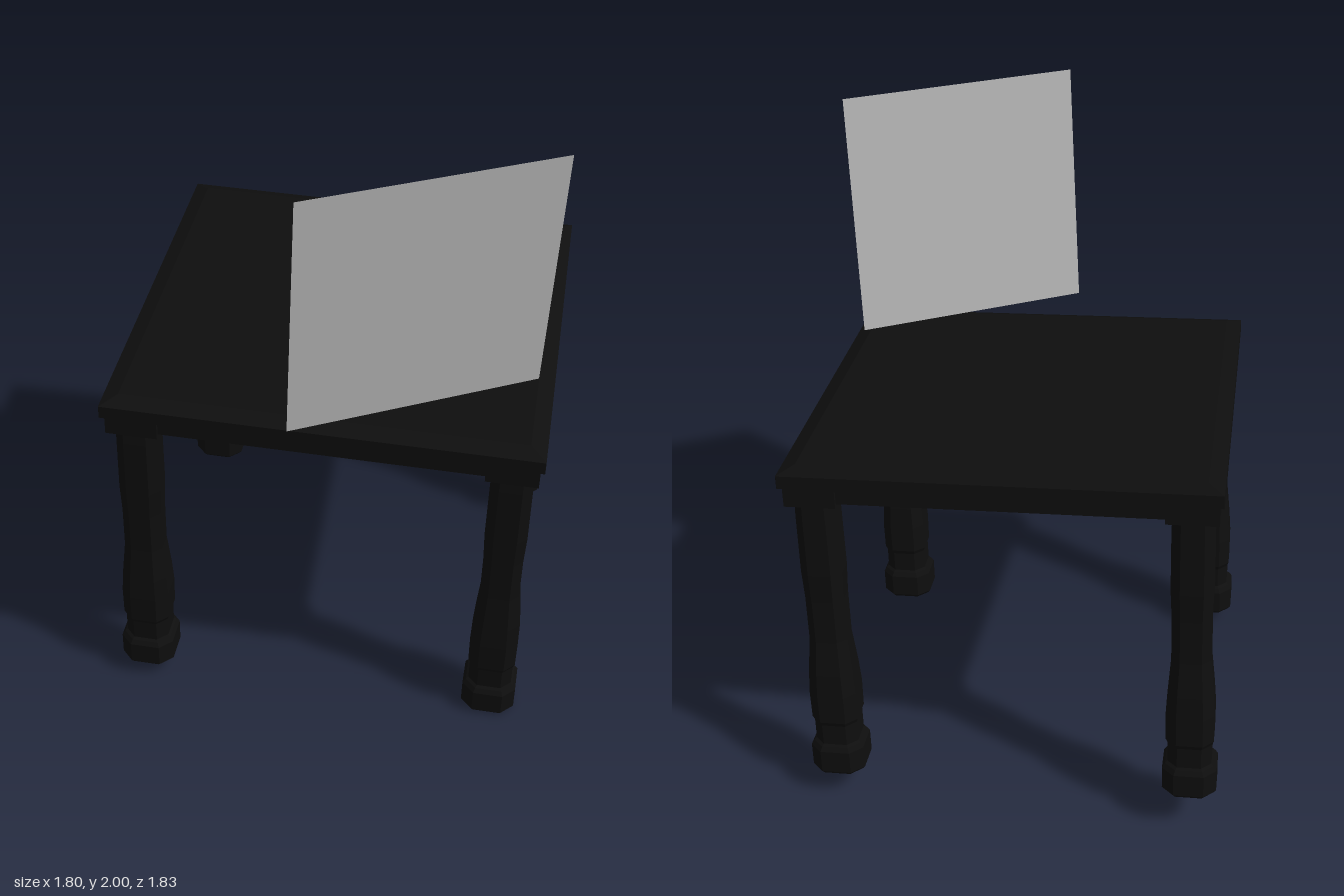
import * as THREE from 'three';

// Faceted solid from stacked sections [y, halfX, halfZ, cornerCut]
function loft(rows) {
  const rings = rows.map(([y, a, b, k]) => [
    [a, b - k], [a - k, b], [k - a, b], [-a, b - k],
    [-a, k - b], [k - a, -b], [a - k, -b], [a, k - b],
  ].map(([x, z]) => [x, y, z]));
  const pos = [];
  const tri = (...pts) => pts.forEach((p) => pos.push(...p));
  for (let r = 0; r < rings.length - 1; r++) {
    const lo = rings[r], hi = rings[r + 1];
    for (let i = 0; i < 8; i++) {
      const j = (i + 1) % 8;
      tri(lo[i], hi[i], lo[j]);
      tri(lo[j], hi[i], hi[j]);
    }
  }
  const first = rings[0], last = rings[rings.length - 1];
  for (let i = 1; i < 7; i++) {
    tri(first[0], first[i], first[i + 1]);
    tri(last[0], last[i + 1], last[i]);
  }
  const geo = new THREE.BufferGeometry();
  geo.setAttribute('position', new THREE.Float32BufferAttribute(pos, 3));
  geo.computeVertexNormals();
  return geo;
}

export function createModel() {
  const model = new THREE.Group();
  const darkWood = new THREE.MeshStandardMaterial({ color: 0x0e0e0e });
  darkWood.name = 'darkWood';
  const panelGray = new THREE.MeshStandardMaterial({ color: 0xb8b8b8, side: THREE.DoubleSide });
  panelGray.name = 'panelGray';

  // Table, turned and tipped slightly forward
  const table = new THREE.Group();
  table.name = 'table';
  table.rotation.set(0.083, -0.51, 0);
  table.position.set(0, 0.075, -0.06);
  model.add(table);

  const add = (name, geo, x = 0, y = 0, z = 0) => {
    const mesh = new THREE.Mesh(geo, darkWood);
    mesh.name = name;
    mesh.position.set(x, y, z);
    table.add(mesh);
  };

  // Top board with a bevelled upper edge
  add('tabletop', loft([
    [1.078, 0.67, 0.645, 0.001], [1.12, 0.67, 0.645, 0.001], [1.138, 0.62, 0.595, 0.001],
  ]));

  // Turned legs: foot, collar, bulge, slim neck: [height, half width]
  const profile = [
    [0, 0.078], [0.012, 0.087], [0.09, 0.087], [0.105, 0.078], [0.112, 0.07],
    [0.185, 0.07], [0.2, 0.076], [0.3, 0.077], [0.38, 0.072], [0.5, 0.062],
    [0.65, 0.062], [0.75, 0.066], [0.95, 0.065], [1.02, 0.063],
  ];
  const legGeo = loft(profile.map(([y, r]) => {
    const slim = y > 0.45 ? 0.92 : 1;
    return [y, r, r * slim, r * 0.45];
  }));
  const blockGeo = new THREE.BoxGeometry(0.16, 0.07, 0.16);
  for (const sx of [-1, 1]) {
    for (const sz of [-1, 1]) {
      add('leg', legGeo, sx * 0.577, 0, sz * 0.545);
      add('cornerBlock', blockGeo, sx * 0.577, 1.045, sz * 0.552);
    }
  }

  // Skirt rails between the corner blocks
  for (const s of [-1, 1]) {
    add('longRail', new THREE.BoxGeometry(1.0, 0.06, 0.06), 0, 1.05, s * 0.59);
    add('shortRail', new THREE.BoxGeometry(0.06, 0.06, 0.96), s * 0.615, 1.05, 0);
  }

  // Thin crossing braces under the top
  add('longBrace', new THREE.BoxGeometry(1.18, 0.02, 0.03), 0, 1.069, 0);
  add('shortBrace', new THREE.BoxGeometry(0.03, 0.02, 1.14), 0, 1.069, 0);

  // Flat gray panel leaning forward above the front edge
  const panel = new THREE.Mesh(new THREE.PlaneGeometry(0.805, Math.hypot(0.8, 0.11)), panelGray);
  panel.name = 'panel';
  panel.position.set(-0.02, 1.6, 0.675);
  panel.rotation.x = Math.atan2(0.11, 0.8);
  model.add(panel);

  return model;
}
